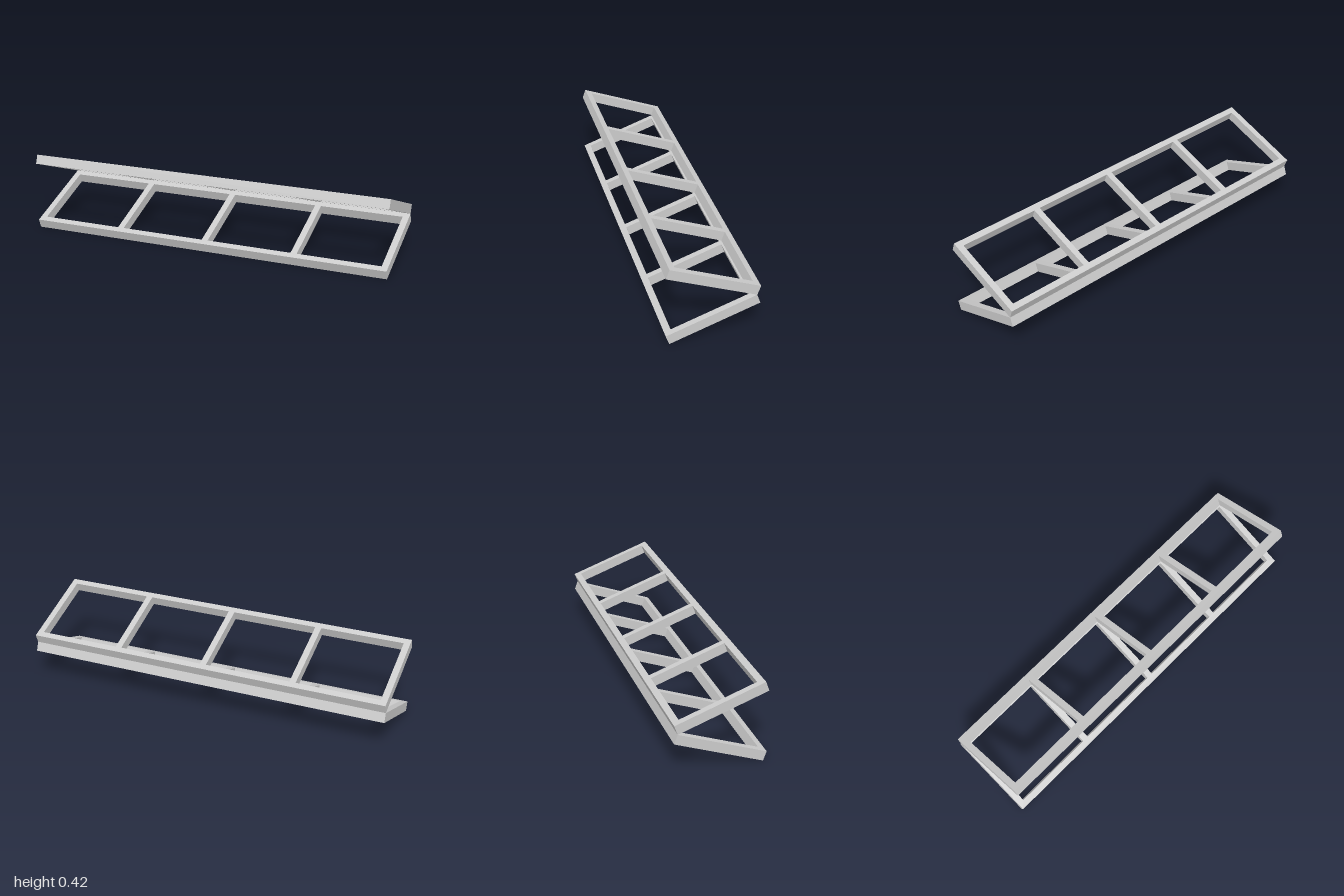
import * as THREE from 'three';

const LENGTH = 2, DEPTH = 0.476, THICK = 0.051, BAR = 0.034, BAYS = 4;
const TILT = THREE.MathUtils.degToRad(20);

// Closed rectangle outline between two corners
function rect(Type, x0, y0, x1, y1) {
  const path = new Type();
  path.moveTo(x0, y0);
  path.lineTo(x1, y0);
  path.lineTo(x1, y1);
  path.lineTo(x0, y1);
  path.closePath();
  return path;
}

// Flat rectangular frame with evenly spaced crossbars, centred and lying in xz
function frameGeometry() {
  const shape = rect(THREE.Shape, -LENGTH / 2, -DEPTH / 2, LENGTH / 2, DEPTH / 2);
  const h = DEPTH / 2 - BAR;
  const pitch = LENGTH / BAYS;
  for (let i = 0; i < BAYS; i++) {
    const left = -LENGTH / 2 + i * pitch + (i === 0 ? BAR : BAR / 2);
    const right = -LENGTH / 2 + (i + 1) * pitch - (i === BAYS - 1 ? BAR : BAR / 2);
    shape.holes.push(rect(THREE.Path, left, -h, right, h));
  }
  const geometry = new THREE.ExtrudeGeometry(shape, { depth: THICK, bevelEnabled: false });
  geometry.translate(0, 0, -THICK / 2);
  geometry.rotateX(-Math.PI / 2);
  return geometry;
}

export function createModel() {
  const group = new THREE.Group();
  group.name = 'hingedFrames';
  const material = new THREE.MeshStandardMaterial({ color: 0xcccccc, flatShading: true });
  const geometry = frameGeometry();

  // Two frames meeting along the back edge and opening towards the front
  const halfHeight = (DEPTH * Math.sin(TILT) + THICK * Math.cos(TILT)) / 2;
  const hingeRise = (DEPTH * Math.sin(TILT) - THICK * Math.cos(TILT)) / 2;
  const hingeY = halfHeight * 2;
  for (const [name, side] of [['lowerFrame', -1], ['upperFrame', 1]]) {
    const frame = new THREE.Mesh(geometry, material);
    frame.name = name;
    frame.rotation.x = -side * TILT;
    frame.position.y = hingeY + side * (hingeRise + THICK * Math.cos(TILT));
    group.add(frame);
  }
  return group;
}
